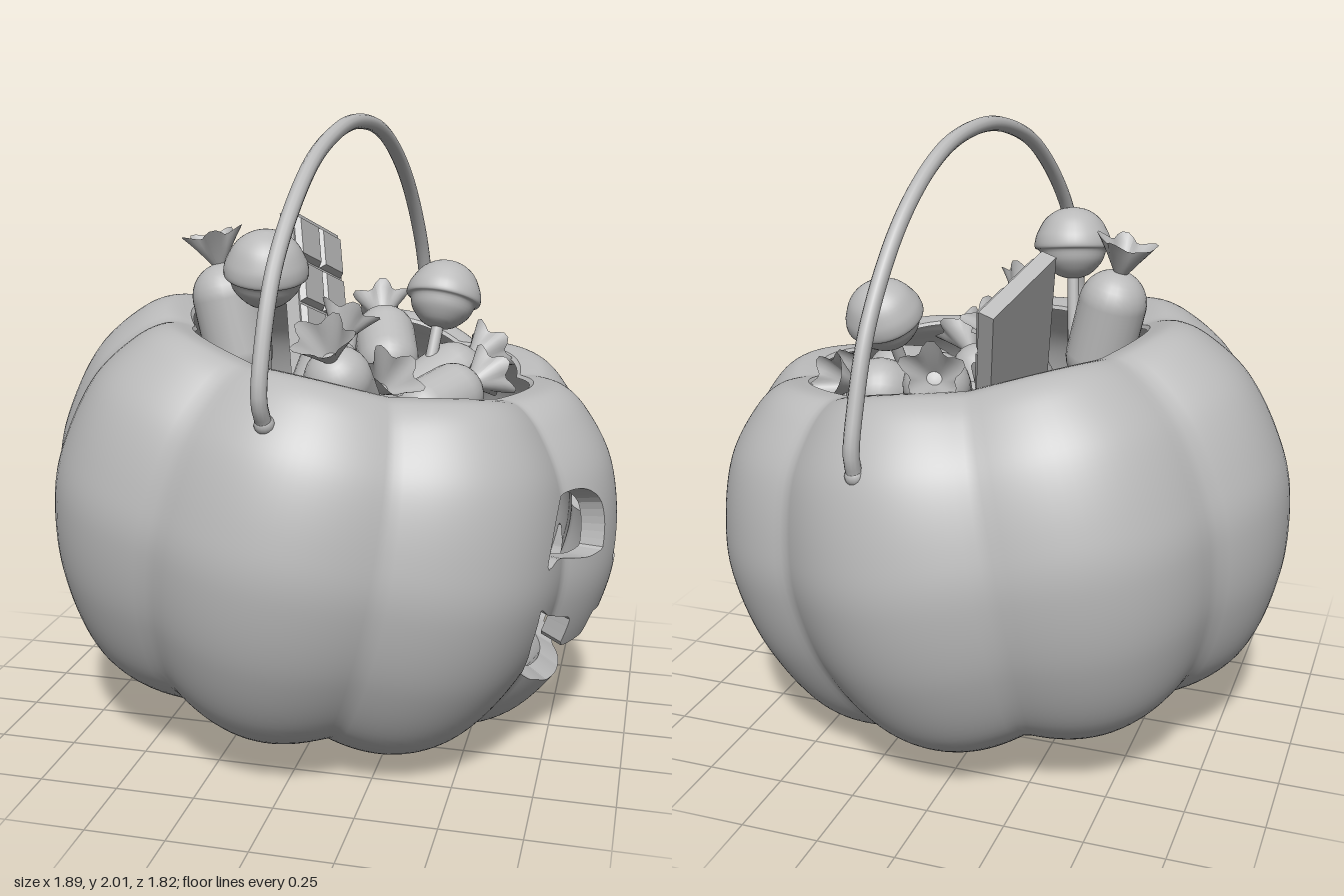
import * as THREE from 'three';
import { mergeVertices } from 'three/addons/utils/BufferGeometryUtils.js';

const grey = new THREE.MeshStandardMaterial({ color: 0xbababa, side: THREE.DoubleSide });
grey.name = 'light grey';

const V2 = (p) => new THREE.Vector2(p[0], p[1]);
const V3 = (x, y, z) => new THREE.Vector3(x, y, z);

function add(parent, geometry, name) {
  const mesh = new THREE.Mesh(geometry, grey);
  mesh.name = name;
  parent.add(mesh);
  return mesh;
}

// ---- Face cut-outs as [z, y] outlines on the +x side ----
const eyePoints = [[.18, .7], [.165, .78], [.18, .86], [.25, .91], [.34, .9], [.42, .83], [.47, .72], [.4, .73], [.32, .71], [.25, .695]];
const eye = (side) => new THREE.SplineCurve([...eyePoints, eyePoints[0]].map(([z, y]) => V2([.02 + side * z, y]))).getPoints(50);
const nose = [[.02, .76], [.04, .74], [.095, .64], [.08, .62], [-.03, .615], [-.04, .64], [0, .74]].map(V2);
const mouth = [[.5, .6], [.42, .55], [.29, .5], [.275, .39], [.165, .4], [.16, .475], [.03, .46], [-.1, .465], [-.11, .39], [-.215, .39],
  [-.24, .5], [-.36, .53], [-.455, .57], [-.43, .47], [-.36, .36], [-.26, .28], [-.12, .23], [.03, .22], [.17, .23], [.29, .28], [.4, .36], [.47, .47]].map(V2);
const holes = [eye(1), eye(-1), nose, mouth];

// Signed distance to an outline: negative inside
function outlineDistance(p, poly) {
  let best = Infinity, inside = false;
  poly.forEach((a, i) => {
    const b = poly[(i + 1) % poly.length];
    const ex = b.x - a.x, ey = b.y - a.y, wx = p.x - a.x, wy = p.y - a.y;
    const t = THREE.MathUtils.clamp((wx * ex + wy * ey) / (ex * ex + ey * ey || 1), 0, 1);
    best = Math.min(best, Math.hypot(wx - t * ex, wy - t * ey));
    if ((a.y > p.y) !== (b.y > p.y) && p.x < a.x + ex * (p.y - a.y) / ey) inside = !inside;
  });
  return inside ? -best : best;
}
function cutValue(p) {
  if (p.x < 0.3) return 1;
  const q = new THREE.Vector2(p.z, p.y);
  return Math.min(...holes.map((h) => outlineDistance(q, h)));
}

// ---- Pumpkin shell: lobed profile, leaning towards the face ----
const profile = new THREE.SplineCurve([[0, -.52], [.12, -.57], [.34, -.645], [.55, -.615], [.75, -.49], [.885, -.25], [.94, 0], [.925, .19],
  [.86, .39], [.75, .53], [.66, .585], [.57, .575]].map(V2));
const LEAN = THREE.MathUtils.degToRad(-10);

function shellPoint(u, v, scale) {
  const s = (u * 2 - 1) * Math.PI;
  const a = s - 0.5 * Math.sin(s); // finer spacing on the face
  const p = profile.getPoint(v);
  const lobe = a - .07 + .05 * Math.sin(a - .07);
  const groove = .062 * (1 - Math.abs(Math.cos(4 * lobe))) * THREE.MathUtils.smoothstep(p.x, 0, .6);
  const k = (1 - groove) * scale;
  const rimEase = 1 + groove * 0.4 * THREE.MathUtils.smoothstep(v, .85, 1);
  const back = 1 - .02 * Math.min(0, Math.cos(a)); // slightly deeper at the back
  return V3(p.x * Math.cos(a) * k * back, p.y * k * rimEase, p.x * Math.sin(a) * k * .967)
    .applyAxisAngle(V3(0, 0, 1), LEAN).add(V3(0, .7, 0));
}

function makePumpkin(parent) {
  const NU = 200, NV = 96;
  const outer = [], inner = [], walls = [];
  const put = (list, ...points) => points.forEach((p) => list.push(p.x, p.y, p.z));
  // Wall thins to a narrow lip at the rim
  const innerScale = (v) => .92 + .06 * THREE.MathUtils.smoothstep(v, .85, 1);
  const corner = (u, v) => {
    const o = shellPoint(u, v, 1);
    return { o, i: shellPoint(u, v, innerScale(v)), f: cutValue(o) };
  };
  const quad = (list, a, b, c, d) => put(list, a, b, c, a, c, d);
  const grid = [];
  for (let j = 0; j <= NV; j++) {
    grid.push([]);
    for (let i = 0; i <= NU; i++) grid[j].push(corner(i / NU, j / NV));
  }
  // Keep the part of each triangle outside the cut-outs and wall up the cut
  function clip(tri) {
    const kept = [];
    let exit, entry;
    tri.forEach((p, n) => {
      const q = tri[(n + 1) % 3];
      if (p.f > 0) kept.push(p);
      if ((p.f > 0) !== (q.f > 0)) {
        const t = p.f / (p.f - q.f);
        const m = { o: p.o.clone().lerp(q.o, t), i: p.i.clone().lerp(q.i, t) };
        kept.push(m);
        if (p.f > 0) exit = m; else entry = m;
      }
    });
    for (let n = 1; n + 1 < kept.length; n++) {
      const [a, b, c] = [kept[0], kept[n], kept[n + 1]];
      put(outer, a.o, b.o, c.o);
      put(inner, a.i, c.i, b.i);
    }
    if (exit) quad(walls, entry.o, exit.o, exit.i, entry.i);
  }
  for (let j = 0; j < NV; j++) for (let i = 0; i < NU; i++) {
    const a = grid[j][i], b = grid[j][i + 1], c = grid[j + 1][i + 1], d = grid[j + 1][i];
    clip([a, d, c]);
    clip([a, c, b]);
  }
  // Rim joining the outside to the inside
  for (let i = 0; i < NU; i++) {
    const a = grid[NV][i], b = grid[NV][i + 1];
    quad(walls, a.o, a.i, b.i, b.o);
  }
  for (const [list, name, smooth] of [[outer, 'pumpkinOutside', true], [inner, 'pumpkinInside', true], [walls, 'rimAndCutEdges', false]]) {
    let g = new THREE.BufferGeometry();
    g.setAttribute('position', new THREE.Float32BufferAttribute(list, 3));
    if (smooth) g = mergeVertices(g, 1e-4);
    g.computeVertexNormals();
    add(parent, g, name);
  }
}

// ---- Sweets ----
// Fluted flare of twisted wrapper, opening upwards to a shallow star
function twistGeometry() {
  const g = new THREE.CylinderGeometry(.088, .022, .1, 30, 4, true);
  const p = g.attributes.position;
  for (let i = 0; i < p.count; i++) {
    const a = Math.atan2(p.getZ(i), p.getX(i)), t = p.getY(i) / .1 + .5;
    const flute = t * Math.cos(5 * a);
    const k = 1 + .2 * flute;
    p.setXYZ(i, p.getX(i) * k, p.getY(i) - .015 + .01 * flute, p.getZ(i) * k * .85);
  }
  g.computeVertexNormals();
  return g;
}

function makeSweet(parent, centre, tip, r) {
  const axis = tip.clone().sub(centre), d = axis.length();
  const sweet = new THREE.Group();
  sweet.name = 'wrappedSweet';
  sweet.position.copy(centre);
  sweet.quaternion.setFromUnitVectors(V3(0, 1, 0), axis.normalize());
  add(sweet, new THREE.CapsuleGeometry(r, Math.max(.03, 2 * (d - .06 - r)), 8, 24), 'sweetBody');
  for (const end of [1, -1]) {
    const twist = add(sweet, twistGeometry(), 'wrapperTwist');
    twist.position.y = end * d;
    if (end < 0) twist.rotation.x = Math.PI;
  }
  parent.add(sweet);
}

// Ball with a brim round its middle, on a stick
const lollipopProfile = new THREE.SplineCurve([[0, -1], [.45, -.86], [.8, -.52], [.93, -.2], [1.05, -.12], [1.05, .08], [.97, .32],
  [.75, .68], [.4, .92], [0, 1]].map(V2)).getPoints(36);

function makeLollipop(parent, centre, foot, r) {
  const pop = new THREE.Group();
  pop.name = 'lollipop';
  const axis = centre.clone().sub(foot), length = axis.length();
  pop.position.copy(centre);
  pop.quaternion.setFromUnitVectors(V3(0, 1, 0), axis.normalize());
  add(pop, new THREE.LatheGeometry(lollipopProfile, 36).scale(r, r, r), 'lollipopBall');
  add(pop, new THREE.CylinderGeometry(.02, .02, length, 14), 'lollipopStick').position.y = -length / 2;
  parent.add(pop);
}

function makeChocolate(parent) {
  const bar = new THREE.Group();
  bar.name = 'chocolateBar';
  add(bar, new THREE.BoxGeometry(.05, .66, .33), 'chocolateSlab');
  for (let row = 0; row < 4; row++) for (const side of [-1, 1]) {
    // Bevelled square with its small end facing +x
    const g = new THREE.CylinderGeometry(.09, .108, .02, 4, 1).toNonIndexed();
    g.rotateY(Math.PI / 4).rotateZ(-Math.PI / 2);
    g.computeVertexNormals();
    add(bar, g, 'chocolateSquare').position.set(.035, (row - 1.5) * .16, side * .08);
  }
  bar.position.set(-.135, 1.3, -.32);
  bar.rotation.set(-.39, -.28, .19);
  parent.add(bar);
}

export function createModel() {
  const model = new THREE.Group();
  model.name = 'pumpkinSweetBucket';
  makePumpkin(model);

  // Carrying handle with rounded ends
  const arc = [[.765, 1.18], [.8, 1.25], [.78, 1.38], [.675, 1.62], [.42, 1.86], [.2, 1.95], [0, 1.975], [-.25, 1.93], [-.5, 1.77],
    [-.7, 1.51], [-.79, 1.27], [-.815, 1.15], [-.8, 1.085]].map(([z, y]) => V3(.083 - .118 * z, y, z));
  add(model, new THREE.TubeGeometry(new THREE.CatmullRomCurve3(arc), 80, .024, 12), 'handle');
  for (const p of [arc[0], arc[arc.length - 1]]) add(model, new THREE.SphereGeometry(.03, 16, 12), 'handleEnd').position.copy(p);

  // Each sweet: centre, wrapper tip, radius
  const sweets = [
    [[-.31, 1.33, .09], [-.37, 1.585, .08], .11],
    [[.12, 1.19, .36], [.1, 1.36, .5], .105],
    [[.12, 1.2, -.3], [.06, 1.31, -.49], .105],
    [[0, 1.15, .14], [.05, 1.34, .02], .1],
    [[.31, 1.1, -.12], [.46, 1.2, -.32], .11],
    [[.14, 1.08, .17], [.25, 1.22, .28], .09],
    [[.37, 1.11, .1], [.49, 1.16, -.09], .1],
    [[.1, 1.05, -.1], [-.02, 1.18, -.19], .1],
    [[-.05, .93, .25], [.12, .98, .4], .11],
    [[.45, .78, .28], [.55, .84, .12], .12],
    [[.45, .78, -.25], [.56, .86, -.1], .12],
    [[.3, .88, 0], [.42, .86, -.17], .12],
  ];
  for (const [c, t, r] of sweets) makeSweet(model, V3(...c), V3(...t), r);

  makeLollipop(model, V3(-.12, 1.55, .345), V3(-.17, 1.0, .22), .122);
  makeLollipop(model, V3(.33, 1.4, -.22), V3(.28, .98, -.02), .118);
  makeChocolate(model);
  return model;
}
